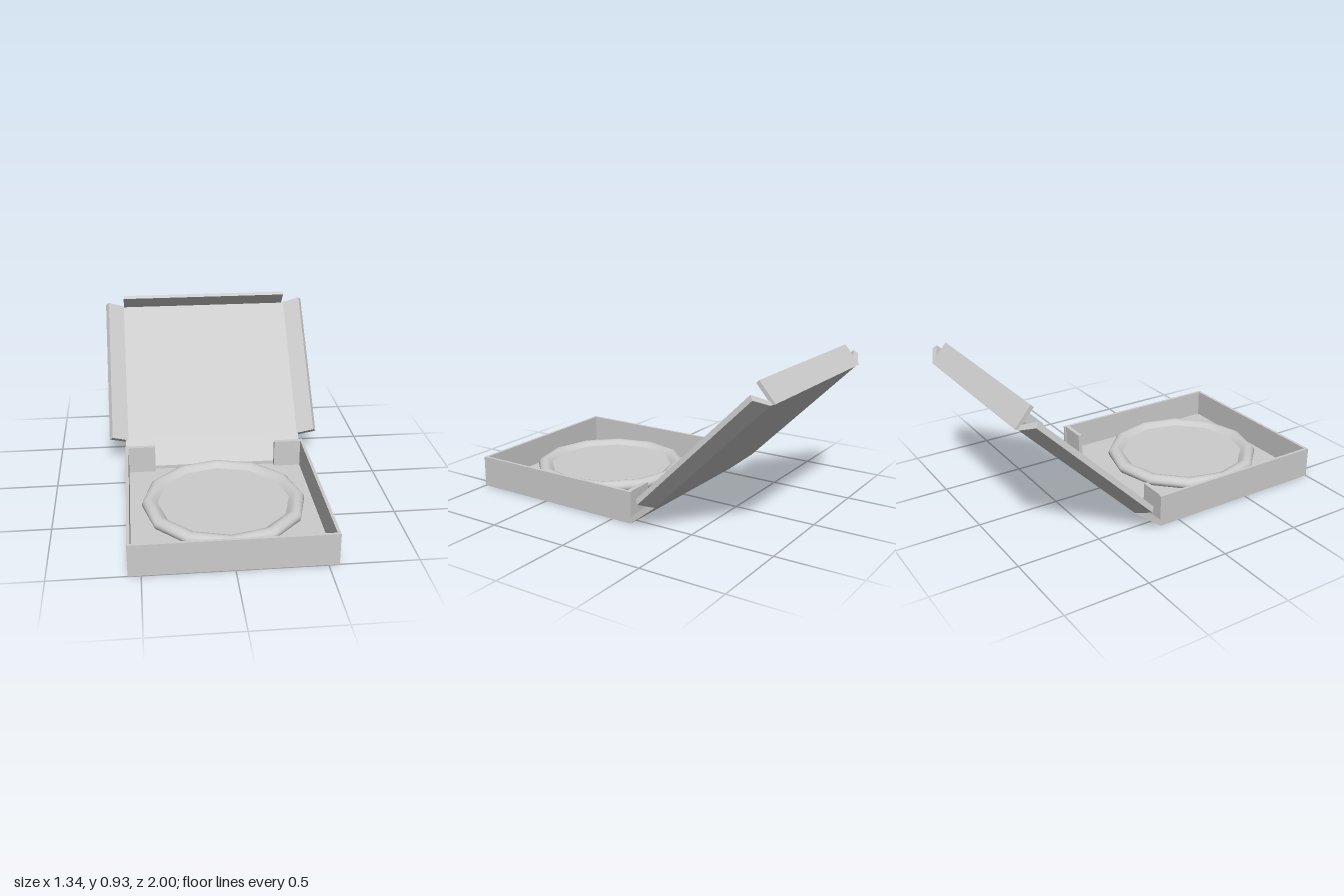
import * as THREE from 'three';

const CX = -0.006; // tray centre line

export function createModel() {
  const model = new THREE.Group();
  model.name = 'openFoodBox';
  const card = new THREE.MeshStandardMaterial({ color: 0xcccccc });
  card.name = 'plainGrey';

  const add = (parent, name, geometry) => {
    const mesh = new THREE.Mesh(geometry, card);
    mesh.name = name;
    parent.add(mesh);
    return mesh;
  };
  // box given by its lower and upper limits on each axis
  const slab = (parent, name, [x0, x1], [y0, y1], [z0, z1]) =>
    add(parent, name, new THREE.BoxGeometry(x1 - x0, y1 - y0, z1 - z0)
      .translate((x0 + x1) / 2, (y0 + y1) / 2, (z0 + z1) / 2));
  const prism = (points, depth) => new THREE.ExtrudeGeometry(
    new THREE.Shape(points.map(([a, b]) => new THREE.Vector2(a, b))),
    { depth, bevelEnabled: false });
  // (z, y) profile swept across the width
  const acrossX = (points, width) =>
    prism(points, width).translate(0, 0, -width / 2).rotateY(-Math.PI / 2);

  // Tray: floor, walls and two short tabs at the open back
  const tray = new THREE.Group();
  tray.name = 'tray';
  tray.position.x = CX;
  model.add(tray);
  const W = 0.565, T = 0.018, H = 0.19, BACK = -0.13;
  slab(tray, 'floor', [-W, W], [0, T], [BACK, 1]);
  slab(tray, 'frontWall', [-W, W], [T, H], [1 - T, 1]);
  for (const s of [1, -1]) {
    const side = s > 0 ? 'left' : 'right';
    const span = (a, b) => [a * s, b * s].sort((p, q) => p - q);
    slab(tray, side + 'Wall', span(W - T, W), [T, H], [BACK, 1 - T]);
    slab(tray, side + 'BackTab', span(0.38, W - T), [T, H], [-0.122, -0.097]);
  }

  // Sloping strip joining tray and lid
  add(model, 'hingePanel', acrossX(
    [[-0.13, 0], [-0.3, 0.135], [-0.28, 0.16], [-0.13, 0.04]], 2 * W)).position.x = CX;

  // Lid, built flat (running back along -z) and then tilted
  const lid = new THREE.Group();
  lid.name = 'lid';
  lid.position.set(0, 0.135, -0.3);
  lid.rotation.x = Math.PI / 4;
  model.add(lid);
  const L = 0.968;
  slab(lid, 'lidPanel', [-0.565, 0.565], [0, 0.03], [-L, 0]);
  for (const s of [1, -1]) {
    const profile = [[0.565, 0], [0.672, 0.061], [0.652, 0.092], [0.553, 0.03]]
      .map(([x, y]) => [x * s, y]);
    add(lid, s > 0 ? 'leftLidFlap' : 'rightLidFlap', prism(profile, L).translate(0, 0, -L));
  }
  add(lid, 'lidLip', acrossX(
    [[-0.96, 0], [-0.982, -0.008], [-0.993, 0.136], [-0.97, 0.136]], 1.09)).position.x = CX;

  // Flat round pie with a raised, rounded crust
  const profile = [[0, 0.055], [0.43, 0.055]];
  for (let i = 1; i <= 8; i++) {
    const a = -Math.PI / 2 + i * Math.PI / 8;
    profile.push([0.43 + 0.047 * Math.cos(a), 0.09 + 0.035 * Math.sin(a)]);
  }
  profile.push([0.41, 0.119], [0.385, 0.098]);
  const lathe = pts => new THREE.LatheGeometry(pts.map(([r, y]) => new THREE.Vector2(r, y)), 12);
  const pie = new THREE.Group();
  pie.name = 'pie';
  pie.position.set(CX, 0, 0.43);
  model.add(pie);
  add(pie, 'crust', lathe(profile));
  add(pie, 'filling', lathe([[0.385, 0.098], [0, 0.098]]));

  return model;
}
